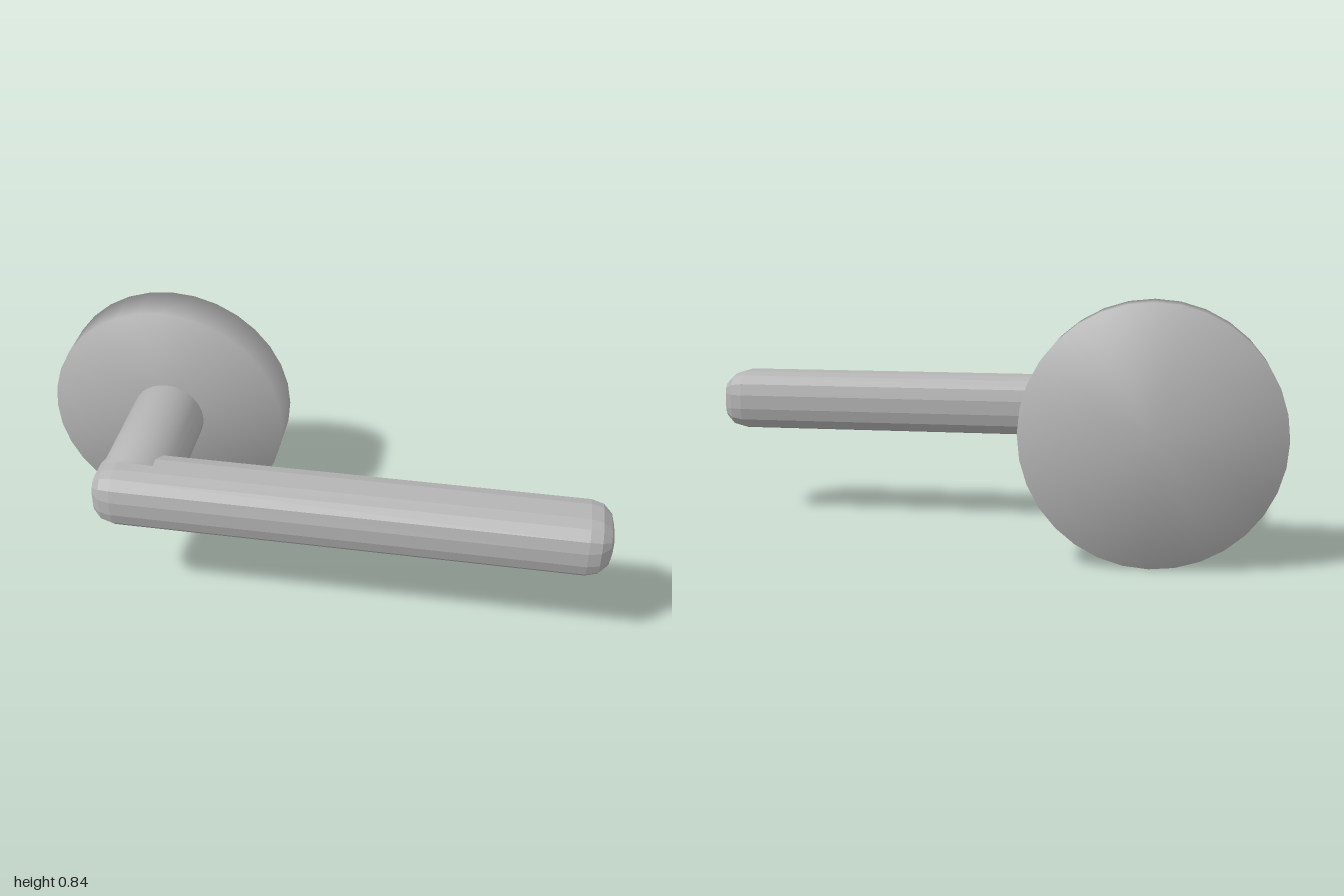
import * as THREE from 'three';
import { mergeVertices } from 'three/addons/utils/BufferGeometryUtils.js';
import { ConvexGeometry } from 'three/addons/geometries/ConvexGeometry.js';

const AXIS_X = -0.58, AXIS_Y = 0.42;

// Cylinder along z whose caps share smooth normals with the side
function softCylinder(radius, zBack, zFront) {
  let geo = new THREE.CylinderGeometry(radius, radius, zFront - zBack, 32);
  geo.deleteAttribute('uv');
  geo.deleteAttribute('normal');
  geo = mergeVertices(geo, 1e-4);
  geo.computeVertexNormals();
  geo.rotateX(Math.PI / 2);
  geo.translate(AXIS_X, AXIS_Y, (zBack + zFront) / 2);
  return geo;
}

// Faceted box with rounded edges: the hull of eight sphere octants
function facetedBar(width, height, depth, radius, steps) {
  const points = [];
  for (const sx of [-1, 1]) for (const sy of [-1, 1]) for (const sz of [-1, 1]) {
    for (let j = 0; j <= steps; j++) {
      const lat = (j / steps) * Math.PI / 2;
      const ring = radius * Math.cos(lat);
      for (let i = 0; i <= (j === steps ? 0 : steps); i++) {
        const a = (i / steps) * Math.PI / 2;
        points.push(new THREE.Vector3(
          sx * (width / 2 - radius + radius * Math.sin(lat)),
          sy * (height / 2 - radius + ring * Math.sin(a)),
          sz * (depth / 2 - radius + ring * Math.cos(a))));
      }
    }
  }
  return new ConvexGeometry(points);
}

export function createModel() {
  const group = new THREE.Group();
  group.name = 'doorHandle';
  const metal = new THREE.MeshStandardMaterial({ color: 0xb4b4b4 });
  metal.name = 'brushed metal';

  const add = (name, geometry) => {
    const mesh = new THREE.Mesh(geometry, metal);
    mesh.name = name;
    group.add(mesh);
    return mesh;
  };

  // Round plate against the door, and the neck standing out from it
  add('rosette', softCylinder(0.42, -0.362, -0.204));
  add('neck', softCylinder(0.13, -0.21, 0.243));

  // Lever bar across the end of the neck
  add('lever', facetedBar(1.71, 0.21, 0.237, 0.08, 3)).position.set(0.145, 0.423, 0.244);

  return group;
}
